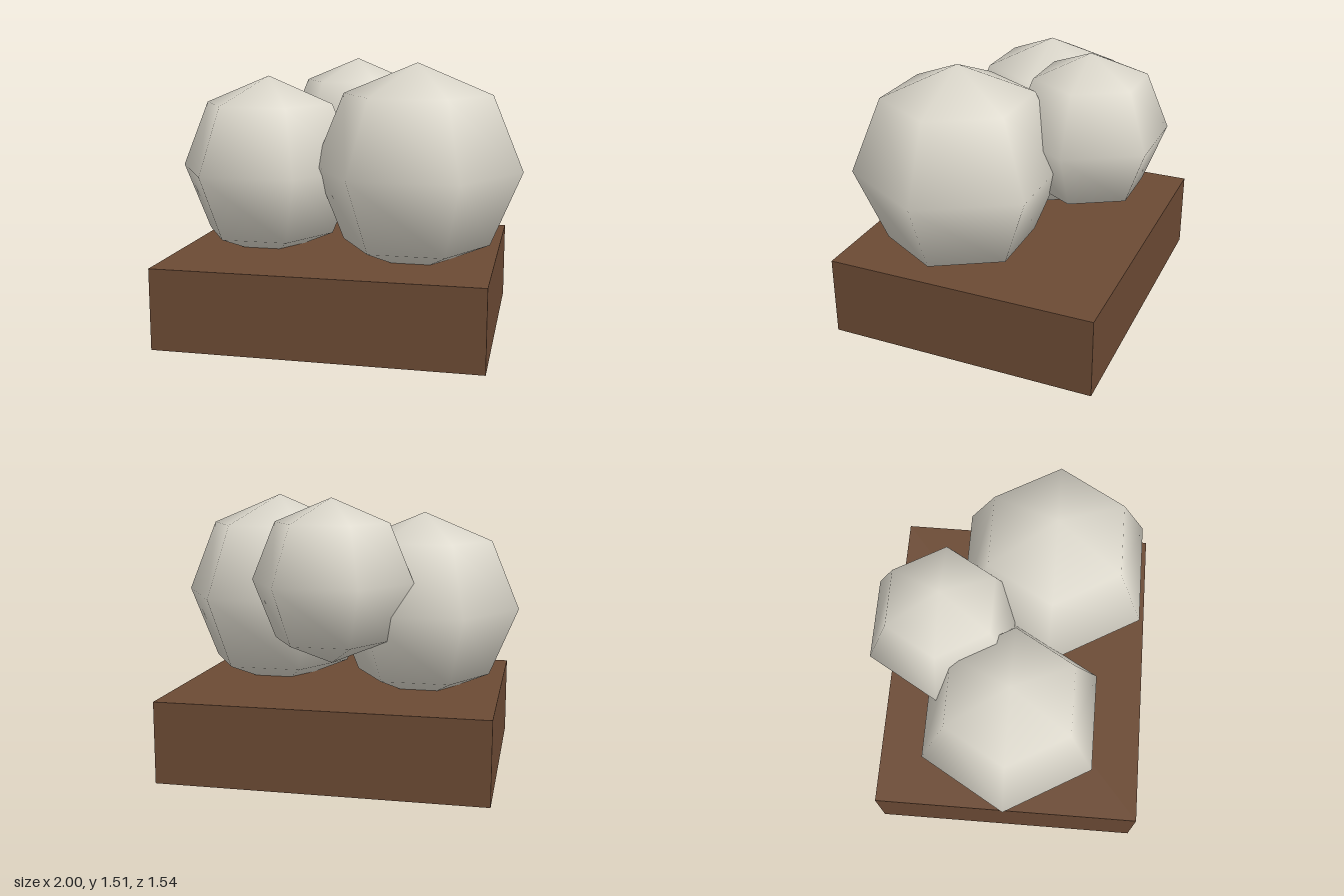
import * as THREE from 'three';

export function createModel() {
  const group = new THREE.Group();
  const stone = new THREE.MeshStandardMaterial({ color: 0xdcd8cc });
  stone.name = 'pale stone';
  const wood = new THREE.MeshStandardMaterial({ color: 0x6b4a34 });
  wood.name = 'brown wood';

  const add = (name, geometry, material, x, y, z) => {
    const mesh = new THREE.Mesh(geometry, material);
    mesh.name = name;
    mesh.position.set(x, y, z);
    group.add(mesh);
  };

  // Plain block the cluster rests on
  add('base', new THREE.BoxGeometry(1.775, 0.447, 1.51), wood, -0.025, 0.2235, 0.013);

  // Three overlapping low-sided balls, smooth shaded and sunk into each other
  const balls = [
    ['leftBall', 0.577, 0.421, 0.936, 0.19],
    ['rightBall', 0.531, -0.469, 0.892, 0.01],
    ['backBall', 0.443, -0.024, 1.069, -0.386],
  ];
  for (const [name, radius, x, y, z] of balls) {
    add(name, new THREE.SphereGeometry(radius, 6, 4), stone, x, y, z);
  }

  return group;
}
